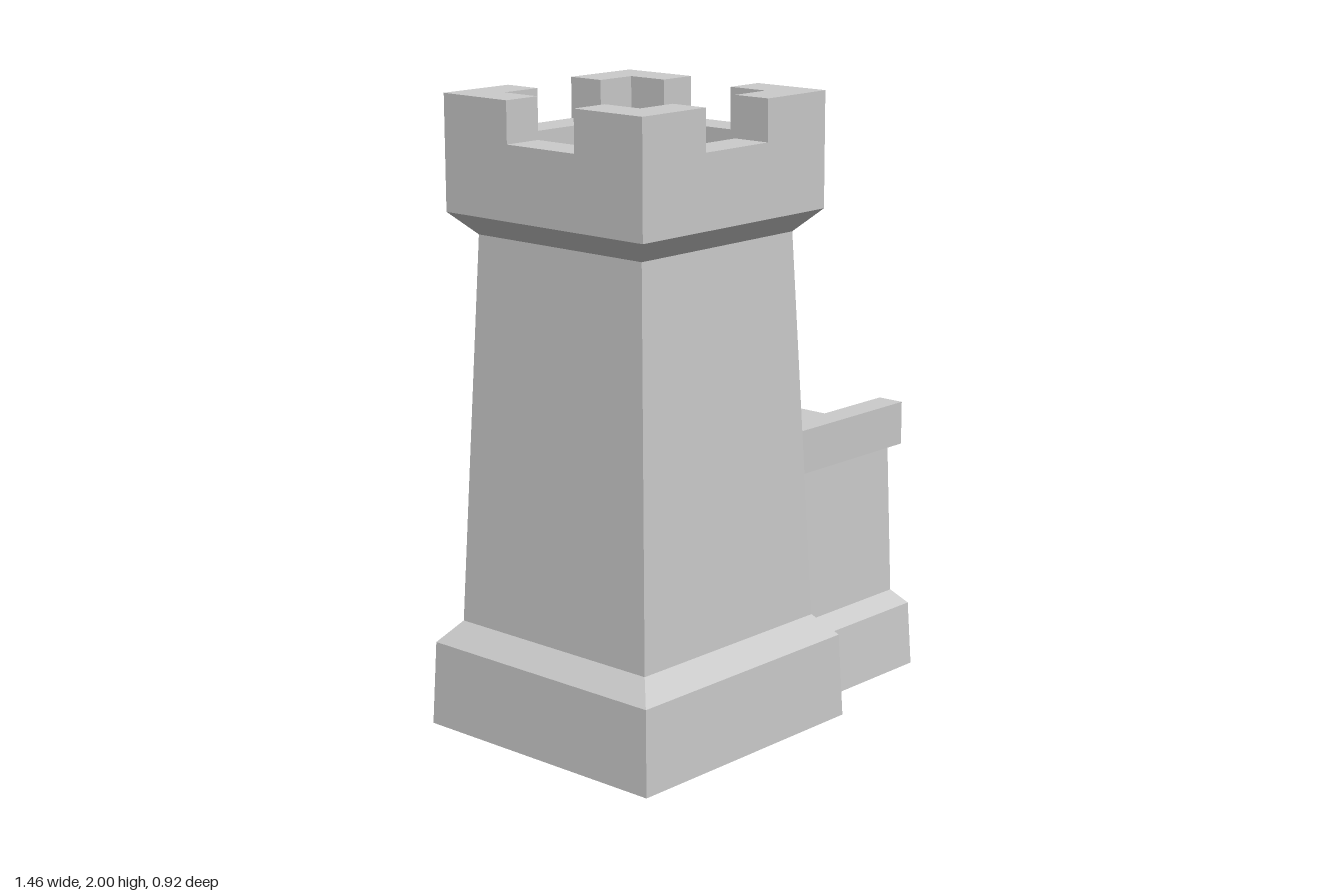
import * as THREE from 'three';

const material = new THREE.MeshStandardMaterial({ color: 0xcccccc, flatShading: true });

function part(name, geometry) {
  const mesh = new THREE.Mesh(geometry, material);
  mesh.name = name;
  return mesh;
}

// Square solid from [half width, height] pairs, listed from the bottom up
function squareLoft(profile) {
  const points = profile.map(([half, y]) => new THREE.Vector2(half * Math.SQRT2, y));
  return new THREE.LatheGeometry(points, 4, Math.PI / 4);
}

function extrude(points, depth) {
  const shape = new THREE.Shape(points.map(([x, y]) => new THREE.Vector2(x, y)));
  return new THREE.ExtrudeGeometry(shape, { depth, bevelEnabled: false });
}

export function createModel() {
  const model = new THREE.Group();
  model.name = 'watchtower';

  const tower = new THREE.Group();
  tower.name = 'tower';
  tower.position.x = -0.27;
  model.add(tower);

  // Plinth, tapering shaft, flared crown and sunken roof floor
  const rim = 0.405, inner = 0.277, notch = 0.138;
  const floorY = 1.75, notchY = 1.87, topY = 2;
  tower.add(part('towerBody', squareLoft([
    [0, 0], [0.461, 0], [0.45, 0.27], [0.388, 0.34], [0.337, 1.57],
    [rim, 1.64], [rim, notchY], [inner, notchY], [inner, floorY], [0, floorY],
  ])));

  // Raised roof hatch
  tower.add(part('roofHatch', squareLoft([
    [notch, floorY], [0.123, floorY + 0.04], [0, floorY + 0.04],
  ])));

  // L-shaped corner battlements
  const corner = extrude([
    [notch, inner], [inner, inner], [inner, notch],
    [rim, notch], [rim, rim], [notch, rim],
  ], topY - notchY).rotateX(-Math.PI / 2).translate(0, notchY, 0);
  for (let i = 0; i < 4; i++) {
    const battlement = part('cornerBattlement', corner);
    battlement.rotation.y = i * Math.PI / 2;
    tower.add(battlement);
  }

  // Wall section with footing, walkway and two parapets
  const side = [
    [0.327, 0], [0.31, 0.21], [0.235, 0.24], [0.212, 0.735],
    [0.268, 0.757], [0.268, 0.9], [0.176, 0.9], [0.176, 0.805],
  ];
  const mirrored = side.map(([z, y]) => [-z, y]).reverse();
  const startX = 0.04, endX = 0.728;
  const wall = extrude([...side, ...mirrored], endX - startX)
    .rotateY(Math.PI / 2).translate(startX, 0, 0);
  model.add(part('wall', wall));

  return model;
}
